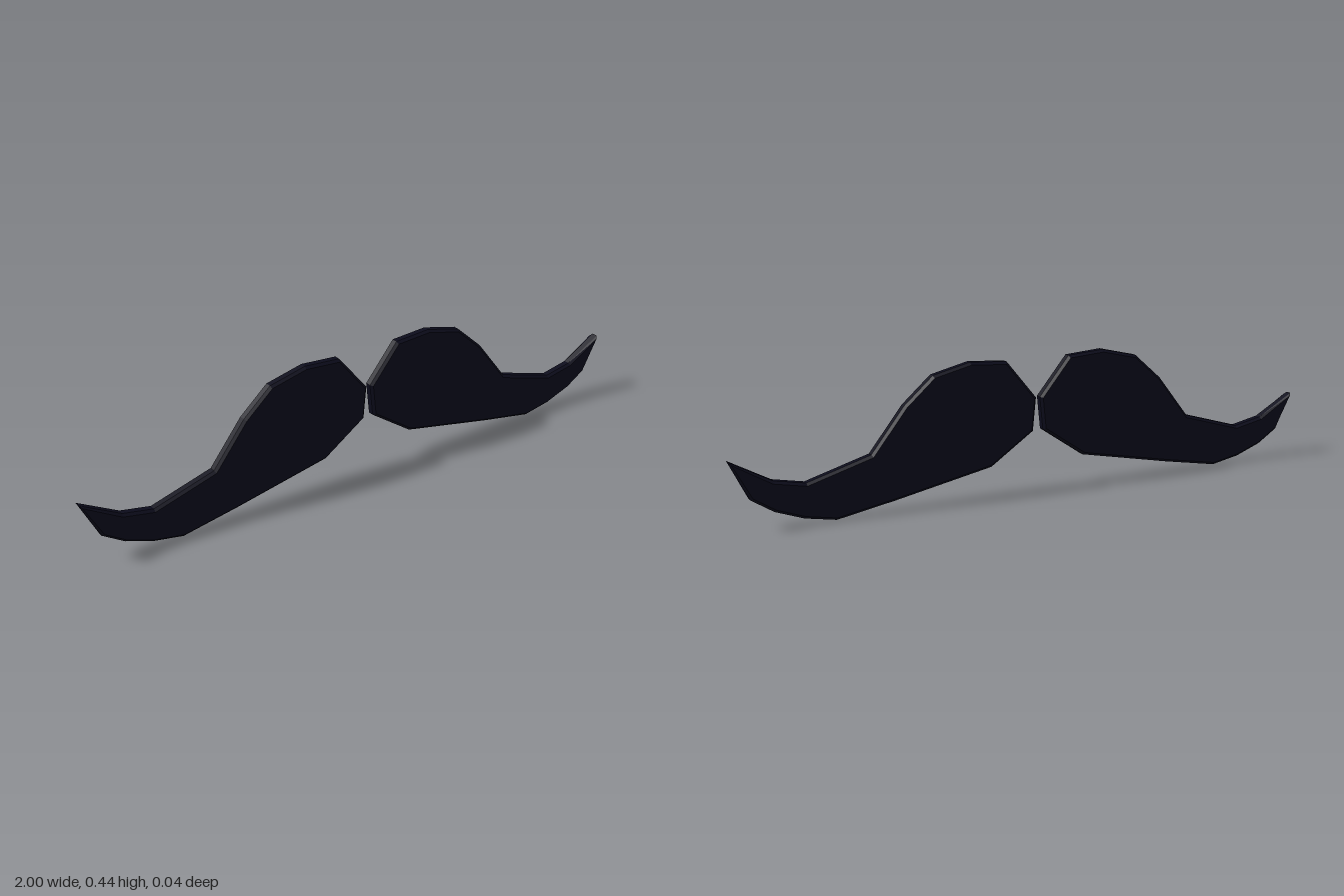
import * as THREE from 'three';

// Outline of one half, from the centre over the top to the tip and back below
const outline = [
  [0.007, 0.31], [0.11, 0.435], [0.235, 0.444], [0.36, 0.414], [0.455, 0.33],
  [0.565, 0.19], [0.77, 0.13], [0.87, 0.15], [1.0, 0.222], [0.94, 0.1],
  [0.87, 0.055], [0.78, 0.022], [0.68, 0.003], [0.49, 0.037], [0.165, 0.102], [0.018, 0.202],
];

const HALF_DEPTH = 0.018;
const BEVEL = 0.008;

// Flat plate with chamfered rims; side is 1 for left, -1 for right
function createHalf(side, material) {
  const shape = new THREE.Shape(outline.map(([x, y]) => new THREE.Vector2(side * x, y)));
  const geometry = new THREE.ExtrudeGeometry(shape, {
    depth: 2 * (HALF_DEPTH - BEVEL),
    bevelEnabled: true,
    bevelThickness: BEVEL,
    bevelSize: BEVEL,
    bevelOffset: -BEVEL,
    bevelSegments: 1,
  });
  geometry.translate(0, 0, BEVEL - HALF_DEPTH);
  const mesh = new THREE.Mesh(geometry, material);
  mesh.name = side > 0 ? 'leftMoustacheHalf' : 'rightMoustacheHalf';
  return mesh;
}

export function createModel() {
  const group = new THREE.Group();
  group.name = 'moustache';
  const material = new THREE.MeshStandardMaterial({ color: 0x0c0c1c });
  material.name = 'dark navy';
  for (const side of [1, -1]) group.add(createHalf(side, material));
  return group;
}
